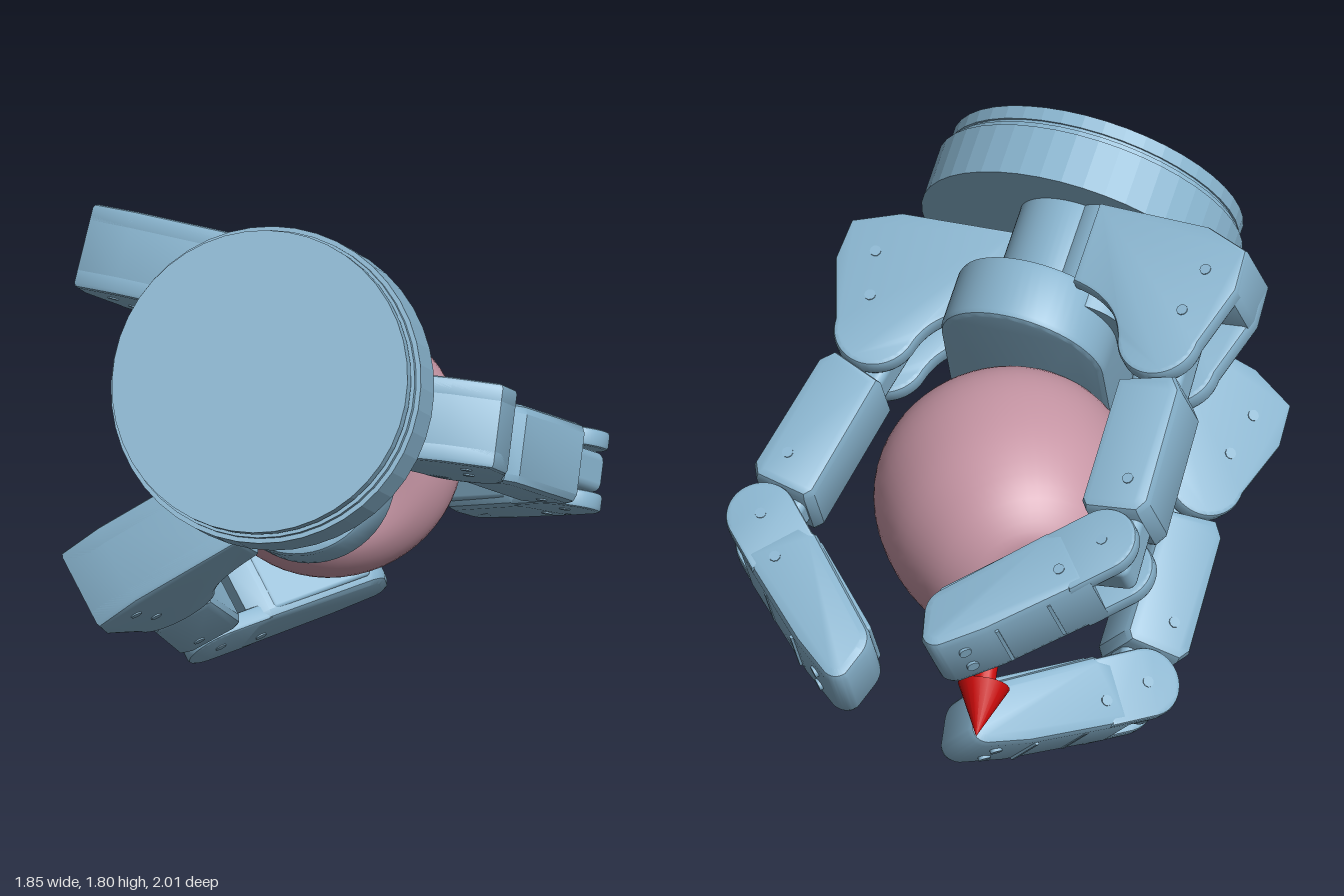
import * as THREE from 'three';
import { toCreasedNormals } from 'three/addons/utils/BufferGeometryUtils.js';
import { RoundedBoxGeometry } from 'three/addons/geometries/RoundedBoxGeometry.js';

const blue = new THREE.MeshStandardMaterial({ color: 0x87b2cc });
const blueFlat = new THREE.MeshStandardMaterial({ color: 0x87b2cc, flatShading: true });
const pink = new THREE.MeshStandardMaterial({ color: 0xc796a5 });
const red = new THREE.MeshStandardMaterial({ color: 0xcc0a0a });

function add(parent, name, geometry, material, x = 0, y = 0, z = 0) {
  const mesh = new THREE.Mesh(geometry, material);
  mesh.name = name;
  mesh.position.set(x, y, z);
  parent.add(mesh);
  return mesh;
}

// Plate cut from a side profile in XY, centred on z = 0, with a small bevel
function plate(shape, width, bevel = 0.02) {
  const g = new THREE.ExtrudeGeometry(shape, {
    depth: width - 2 * bevel, bevelThickness: bevel, bevelSize: bevel,
    bevelOffset: -bevel, bevelSegments: 2, curveSegments: 14,
  });
  g.translate(0, 0, -width / 2 + bevel);
  return toCreasedNormals(g, 0.6);
}

// Oblong slab lying across the palm axis (long along z, thick along y)
function oblong(halfLength, halfWidth, thickness) {
  const s = new THREE.Shape();
  const c = halfLength - halfWidth;
  s.absarc(c, 0, halfWidth, -Math.PI / 2, Math.PI / 2);
  s.absarc(-c, 0, halfWidth, Math.PI / 2, Math.PI * 1.5);
  s.closePath();
  return plate(s, thickness, 0.02).rotateX(Math.PI / 2).rotateY(Math.PI / 2);
}

// Knuckle housing cheek, with its hinge at the origin and +x pointing outward
function housingShape() {
  const s = new THREE.Shape();
  s.moveTo(-0.34, -0.42);
  s.lineTo(0.04, -0.4);
  s.lineTo(0.19, -0.34);
  s.lineTo(0.2, -0.2);
  s.lineTo(0.135, 0);
  s.absarc(0, 0, 0.135, 0, Math.PI * 0.9);
  s.quadraticCurveTo(-0.16, -0.1, -0.34, -0.14);
  s.closePath();
  return s;
}

// Solid part of the housing between its cheeks
function housingRootShape() {
  const s = new THREE.Shape();
  s.moveTo(-0.34, -0.42);
  s.lineTo(0.04, -0.4);
  s.lineTo(0.19, -0.34);
  s.lineTo(0.2, -0.2);
  s.lineTo(0.19, -0.17);
  s.lineTo(-0.34, -0.145);
  s.closePath();
  return s;
}

// Fingertip body: straight back, blunt chamfered end
function tipShape() {
  const s = new THREE.Shape();
  s.moveTo(0.115, 0.09);
  s.lineTo(0.105, 0.45);
  s.lineTo(0.085, 0.6);
  s.quadraticCurveTo(0.07, 0.65, 0.02, 0.645);
  s.lineTo(-0.06, 0.605);
  s.quadraticCurveTo(-0.105, 0.58, -0.11, 0.53);
  s.lineTo(-0.12, 0.15);
  s.lineTo(-0.09, 0.09);
  s.closePath();
  return s;
}

// Rounded elbow cheek at the root of the fingertip
function cheekShape() {
  const s = new THREE.Shape();
  s.absarc(0, 0, 0.112, Math.PI, Math.PI * 2);
  s.lineTo(0.113, 0.16);
  s.lineTo(-0.11, 0.16);
  s.closePath();
  return s;
}

// Middle link body, running along +y from the hinge
function linkShape() {
  const s = new THREE.Shape();
  s.moveTo(-0.1, 0.15);
  s.lineTo(0.08, 0.12);
  s.lineTo(0.115, 0.17);
  s.lineTo(0.115, 0.57);
  s.lineTo(0.085, 0.61);
  s.lineTo(-0.09, 0.61);
  s.lineTo(-0.11, 0.58);
  s.closePath();
  return s;
}

function screwPair(parent, y, x, halfWidth) {
  for (const side of [-1, 1]) {
    const g = new THREE.CylinderGeometry(0.018, 0.018, 0.008, 10).rotateX(Math.PI / 2);
    add(parent, 'screw', g, blue, x, y, side * halfWidth);
  }
}

// spec: hinge [r, d, h], outward direction [r, h], spread of the link, curl of the tip
function makeFinger({ name, hinge, out, spread, curl }) {
  const finger = new THREE.Group();
  finger.name = name;
  finger.position.set(...hinge);
  finger.rotation.y = Math.atan2(-out[1], out[0]);

  // Housing forked only around the hinge
  for (const side of [-1, 1]) {
    add(finger, 'housingCheek', plate(housingShape(), 0.07, 0.015), blue, 0, 0, side * 0.1);
  }
  add(finger, 'housingRoot', plate(housingRootShape(), 0.268, 0.015), blue);
  screwPair(finger, -0.25, 0.08, 0.135);
  screwPair(finger, -0.1, 0.05, 0.135);

  const link = new THREE.Group();
  link.name = 'fingerLink';
  link.rotation.z = -spread;
  finger.add(link);
  add(link, 'linkNeck', new RoundedBoxGeometry(0.17, 0.88, 0.128, 2, 0.03), blue, 0, 0.36, 0);
  add(link, 'linkBody', plate(linkShape(), 0.255, 0.03), blue);
  screwPair(link, 0.5, 0.03, 0.1275);

  const tip = new THREE.Group();
  tip.name = 'fingertip';
  tip.position.set(0, 0.72, 0);
  tip.rotation.z = spread + curl;
  link.add(tip);
  for (const side of [-1, 1]) {
    add(tip, 'elbowCheek', plate(cheekShape(), 0.058, 0.012), blue, 0, 0, side * 0.098);
  }
  add(tip, 'tipBody', plate(tipShape(), 0.26, 0.03), blue);
  add(tip, 'gripPad', new RoundedBoxGeometry(0.03, 0.36, 0.21, 2, 0.012), blue, -0.108, 0.35, 0);
  for (const y of [0.24, 0.42]) {
    add(tip, 'backRib', new THREE.BoxGeometry(0.016, 0.012, 0.19), blue, 0.106, y, 0);
  }
  screwPair(tip, 0, 0, 0.126);
  screwPair(tip, 0.16, 0.03, 0.13);
  // Bolt heads near the end of the tip
  for (const z of [-0.045, 0.045]) {
    const g = new THREE.CylinderGeometry(0.02, 0.02, 0.02, 12).rotateZ(Math.PI / 2);
    add(tip, 'tipBolt', g, blue, 0.092, 0.54, z);
  }
  return finger;
}

function makeGripper() {
  const gripper = new THREE.Group();
  gripper.name = 'gripper';
  // Local axes: x toward the thumb, y along the palm axis, z along the thumb hinge
  const d = new THREE.Vector3(0.43, -0.5, -0.75).normalize();
  const r = new THREE.Vector3().crossVectors(d, new THREE.Vector3(0.15, 0.87, -0.46)).normalize();
  const h = new THREE.Vector3().crossVectors(r, d);
  gripper.quaternion.setFromRotationMatrix(new THREE.Matrix4().makeBasis(r, d, h));
  gripper.position.set(-0.37, 1.37, 0.68);

  // Round mounting base in stepped rings: [radius, start, end]
  const rings = [[0.477, 0, 0.045], [0.47, 0.045, 0.06], [0.485, 0.06, 0.08], [0.5, 0.08, 0.25]];
  for (const [radius, a, b] of rings) {
    add(gripper, 'baseRing', new THREE.CylinderGeometry(radius, radius, b - a, 44), blueFlat, 0, (a + b) / 2, 0);
  }

  // Palm core and thick oblong palm plate
  add(gripper, 'palmCore', oblong(0.37, 0.19, 0.42), blue, -0.03, 0.43, 0);
  add(gripper, 'palmPlate', oblong(0.48, 0.27, 0.21), blue, 0, 0.625, 0);
  // Swivel posts of the two paired fingers
  for (const z of [0.27, -0.29]) {
    add(gripper, 'swivelPost', new THREE.CylinderGeometry(0.14, 0.14, 0.36, 28), blue, -0.17, 0.42, z);
  }

  const fingers = [
    { name: 'thumb', hinge: [0.495, 0.695, -0.07], out: [1, -0.08], spread: 0.22, curl: 0.78 },
    { name: 'upperFinger', hinge: [-0.495, 0.7, 0.43], out: [-0.98, 0.2], spread: 0.06, curl: 0.87 },
    { name: 'lowerFinger', hinge: [-0.48, 0.705, -0.525], out: [-0.86, -0.5], spread: 0.06, curl: 0.92 },
  ];
  for (const spec of fingers) gripper.add(makeFinger(spec));
  return gripper;
}

function makeFruit() {
  const fruit = new THREE.Group();
  fruit.name = 'fruit';
  fruit.position.set(0.052, 0.77, 0);
  // Dimpled profile, swept round the front-to-back axis
  const profile = [
    [0, -0.585], [0.04, -0.6], [0.11, -0.62], [0.19, -0.608], [0.3, -0.52], [0.385, -0.36],
    [0.417, -0.18], [0.405, -0.03], [0.345, 0.08], [0.235, 0.15], [0.12, 0.145], [0.05, 0.1], [0, 0.07],
  ].map(([x, y]) => new THREE.Vector2(x, y));
  const curve = new THREE.SplineCurve(profile).getPoints(48);
  curve.forEach((p) => { p.x = Math.max(p.x, 0); });
  add(fruit, 'fruitBody', new THREE.LatheGeometry(curve, 56).rotateX(Math.PI / 2), pink);
  add(fruit, 'stem', new THREE.CylinderGeometry(0.03, 0.025, 0.26, 12).rotateX(Math.PI / 2), pink, 0, -0.01, 0.19);
  add(fruit, 'stemEnd', new THREE.SphereGeometry(0.035, 14, 10), pink, 0, -0.01, 0.32);
  return fruit;
}

function makeArrow() {
  const arrow = new THREE.Group();
  arrow.name = 'arrow';
  const tip = new THREE.Vector3(0.257, 0.322, -0.78);
  const dir = new THREE.Vector3(0.27, -0.57, -0.77).normalize();
  arrow.position.copy(tip);
  arrow.quaternion.setFromUnitVectors(new THREE.Vector3(0, 1, 0), dir);
  add(arrow, 'arrowHead', new THREE.ConeGeometry(0.082, 0.17, 20), red, 0, -0.085, 0);
  add(arrow, 'arrowShaft', new THREE.CylinderGeometry(0.035, 0.035, 0.55, 16), red, 0, -0.44, 0);
  return arrow;
}

export function createModel() {
  const model = new THREE.Group();
  model.name = 'gripperHoldingFruit';
  model.add(makeGripper(), makeFruit(), makeArrow());
  return model;
}
